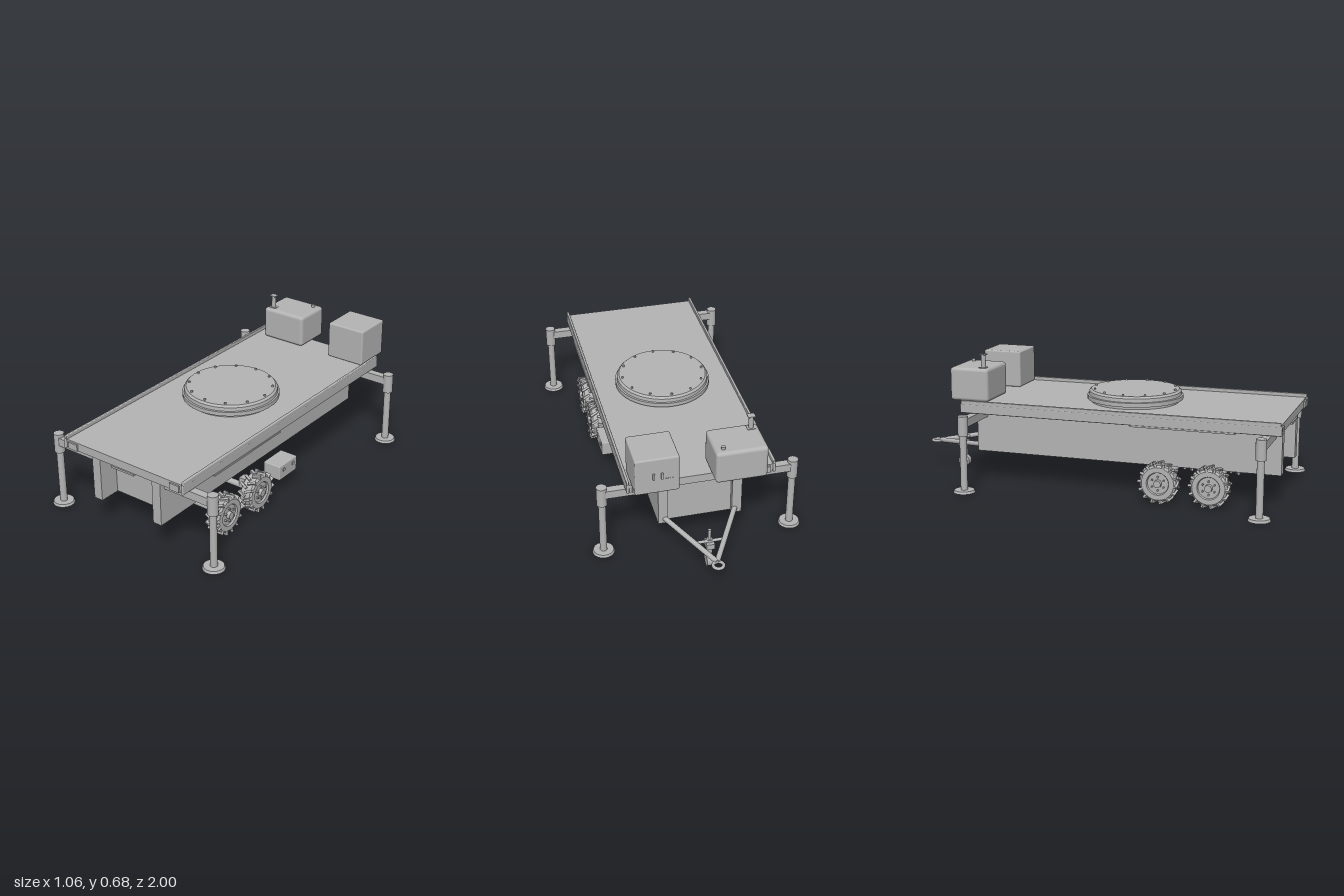
import * as THREE from 'three';
import { RoundedBoxGeometry } from 'three/addons/geometries/RoundedBoxGeometry.js';
import { toCreasedNormals } from 'three/addons/utils/BufferGeometryUtils.js';

const grey = new THREE.MeshStandardMaterial({ color: 0xb4b4b4 });
grey.name = 'plain grey';

function add(parent, name, geometry, x = 0, y = 0, z = 0) {
  const m = new THREE.Mesh(geometry, grey);
  m.name = name;
  m.position.set(x, y, z);
  parent.add(m);
  return m;
}

// Box given by its limits on each axis
function box(parent, name, x0, x1, y0, y1, z0, z1, r = 0) {
  const s = [x1 - x0, y1 - y0, z1 - z0];
  const g = r ? new RoundedBoxGeometry(...s, 3, r) : new THREE.BoxGeometry(...s);
  return add(parent, name, g, (x0 + x1) / 2, (y0 + y1) / 2, (z0 + z1) / 2);
}

// Upright cylinder from y0 to y1
function post(parent, name, r, x, z, y0, y1, sides = 24) {
  return add(parent, name, new THREE.CylinderGeometry(r, r, y1 - y0, sides), x, (y0 + y1) / 2, z);
}

// Round bar between two points
function bar(parent, name, a, b, r) {
  const A = new THREE.Vector3(...a), B = new THREE.Vector3(...b);
  const d = B.clone().sub(A);
  const m = add(parent, name, new THREE.CylinderGeometry(r, r, d.length(), 16));
  m.position.copy(A).add(B).multiplyScalar(0.5);
  m.quaternion.setFromUnitVectors(new THREE.Vector3(0, 1, 0), d.normalize());
  return m;
}

function lathe(points, sides = 48) {
  const g = new THREE.LatheGeometry(points.map(p => new THREE.Vector2(...p)), sides);
  return toCreasedNormals(g, 0.5);
}

// Wheel whose axis is local y, +y facing outwards
function makeWheel() {
  const w = new THREE.Group();
  w.name = 'wheel';
  add(w, 'tyre', lathe([[0, -0.025], [0.05, -0.025], [0.055, -0.035], [0.082, -0.035], [0.092, -0.026],
    [0.092, 0.026], [0.082, 0.035], [0.057, 0.035], [0.053, 0.026], [0, 0.026]]));
  add(w, 'hub', new THREE.CylinderGeometry(0.018, 0.02, 0.02, 20), 0, 0.034, 0);
  for (let i = 0; i < 6; i++) {
    const a = i * Math.PI / 3;
    add(w, 'wheelBolt', new THREE.CylinderGeometry(0.005, 0.005, 0.012, 6),
      Math.cos(a) * 0.034, 0.031, Math.sin(a) * 0.034);
  }
  // Slanted tread bars, staggered between the two shoulders
  for (let i = 0; i < 28; i++) {
    const side = i % 2 ? 1 : -1;
    const spoke = new THREE.Group();
    spoke.rotation.y = i * Math.PI / 14;
    const lug = add(spoke, 'treadLug', new THREE.BoxGeometry(0.02, 0.043, 0.012), 0.092, side * 0.018, 0);
    lug.rotation.x = side * 0.45;
    w.add(spoke);
  }
  return w;
}

export function createModel() {
  const model = new THREE.Group();
  model.name = 'flatbedTrailer';

  // Deck, side rails, lamps and wheel guards
  box(model, 'deck', -0.355, 0.355, 0.395, 0.438, -0.65, 0.985);
  for (const s of [-1, 1]) {
    const mid = s * 0.36;
    box(model, 'sideBeam', mid - 0.007, mid + 0.007, 0.392, 0.44, -0.655, 0.995, 0.005);
    box(model, 'sideRail', mid - 0.007, mid + 0.007, 0.435, 0.457, -0.65, 0.99, 0.004);
    box(model, 'wheelGuard', s * 0.29 - 0.08, s * 0.29 + 0.08, 0.386, 0.394, 0.25, 0.77);
    box(model, 'frontLamp', s * 0.312 - 0.028, s * 0.312 + 0.028, 0.396, 0.43, 0.985, 0.993);
    box(model, 'rearLamp', s * 0.312 - 0.028, s * 0.312 + 0.028, 0.396, 0.43, -0.658, -0.65);
  }
  box(model, 'frontSill', -0.07, 0.07, 0.386, 0.396, 0.95, 0.992);

  // Chassis beams and cross plates
  for (const s of [-1, 1])
    box(model, 'chassisBeam', s * 0.1845 - 0.0245, s * 0.1845 + 0.0245, 0.16, 0.396, -0.63, 0.97);
  for (let i = 0; i < 8; i++) {
    const z = -0.6 + i * 0.208;
    box(model, 'crossPlate', -0.16, 0.16, 0.162, 0.378, z - 0.006, z + 0.006);
  }

  // Outriggers at the four corners
  for (const z of [0.92, -0.59]) for (const s of [-1, 1]) {
    const x = s * 0.476;
    box(model, 'outriggerArm', s * 0.33 - 0.13, s * 0.33 + 0.13, 0.345, 0.387, z - 0.02, z + 0.02);
    post(model, 'legSleeve', 0.026, x, z, 0.302, 0.403);
    post(model, 'legTube', 0.018, x, z, 0.02, 0.31);
    add(model, 'footPad', new THREE.CylinderGeometry(0.05, 0.055, 0.013, 32), x, 0.0165, z);
  }

  // Axles and wheels
  for (const z of [0.645, 0.39]) {
    bar(model, 'axle', [-0.3, 0.107, z], [0.3, 0.107, z], 0.016);
    for (const s of [-1, 1]) {
      box(model, 'axleMount', s * 0.255 - 0.02, s * 0.255 + 0.02, 0.115, 0.16, z - 0.02, z + 0.02);
      const w = makeWheel();
      w.rotation.z = -s * Math.PI / 2;
      w.position.set(s * 0.325, 0.108, z);
      model.add(w);
    }
  }

  // Tool box on the left
  box(model, 'toolBox', 0.25, 0.35, 0.09, 0.17, 0.075, 0.225, 0.006);
  for (const z of [0.11, 0.19]) box(model, 'toolBoxLatch', 0.349, 0.354, 0.135, 0.15, z - 0.008, z + 0.008);

  // Turntable with a ring of bolts
  const table = new THREE.Group();
  table.name = 'turntable';
  table.position.z = 0.165;
  add(table, 'turntableRing', lathe([[0.225, 0.435], [0.225, 0.45], [0.246, 0.453], [0.246, 0.474],
    [0.238, 0.476], [0.236, 0.494], [0.226, 0.504], [0, 0.504]], 64));
  for (let i = 0; i < 12; i++) {
    const a = i * Math.PI / 6;
    post(table, 'turntableBolt', 0.006, Math.sin(a) * 0.212, Math.cos(a) * 0.212, 0.502, 0.512, 8);
  }
  model.add(table);

  // Engine housing with exhaust and filler cap
  box(model, 'engineHousing', -0.3, -0.045, 0.438, 0.611, -0.74, -0.53, 0.018);
  box(model, 'exhaustBase', -0.28, -0.24, 0.607, 0.614, -0.585, -0.55);
  post(model, 'exhaustPipe', 0.012, -0.26, -0.567, 0.61, 0.68);
  box(model, 'exhaustCap', -0.278, -0.242, 0.677, 0.682, -0.583, -0.551);
  post(model, 'fillerCap', 0.01, -0.087, -0.7, 0.608, 0.624, 16);

  // Control cabinet with handles on its rear face
  box(model, 'controlCabinet', 0.13, 0.344, 0.438, 0.633, -0.737, -0.527, 0.009);
  for (const x of [0.215, 0.255]) box(model, 'cabinetHandle', x - 0.005, x + 0.005, 0.52, 0.552, -0.746, -0.736);
  for (let i = 0; i < 4; i++) box(model, 'cabinetVent', 0.16 + i * 0.011, 0.166 + i * 0.011, 0.513, 0.518, -0.74, -0.736);

  // Drawbar with towing eye
  for (const s of [-1, 1])
    bar(model, 'drawbarArm', [s * 0.178, 0.185, -0.62], [0, 0.143, -0.945], 0.013);
  const eye = add(model, 'towingEye', new THREE.TorusGeometry(0.025, 0.008, 12, 32), 0, 0.141, -0.967);
  eye.rotation.x = Math.PI / 2;

  // Jockey wheel
  post(model, 'jockeyPost', 0.008, 0, -0.805, 0.13, 0.225, 16);
  post(model, 'jockeySleeve', 0.015, 0, -0.805, 0.07, 0.17, 16);
  box(model, 'jockeyClamp', -0.02, 0.02, 0.125, 0.155, -0.835, -0.78);
  bar(model, 'jockeyClampBar', [-0.075, 0.16, -0.81], [0.075, 0.16, -0.81], 0.008);
  bar(model, 'jockeyWheel', [-0.016, 0.04, -0.805], [0.016, 0.04, -0.805], 0.031);

  return model;
}
